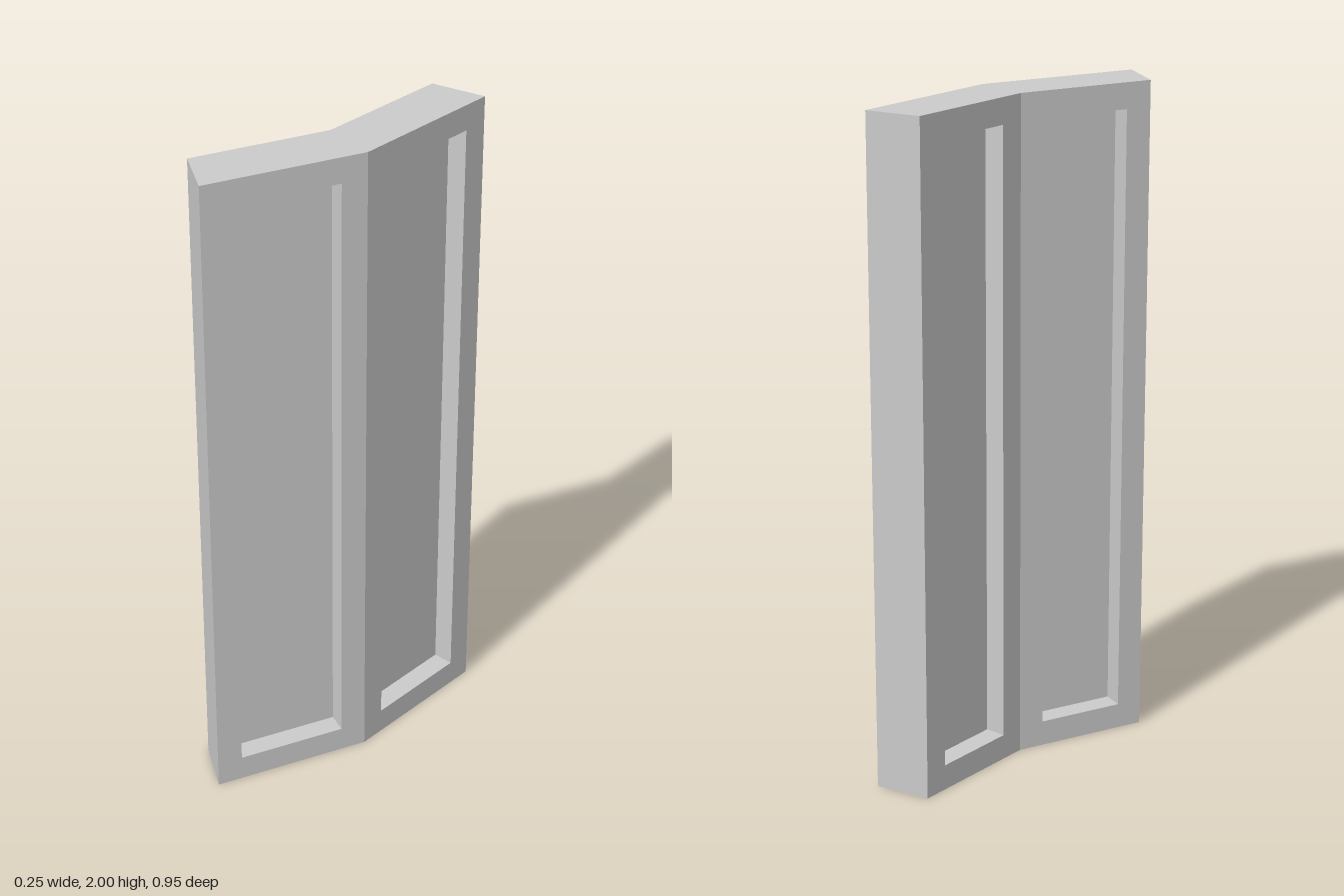
import * as THREE from 'three';

const HEIGHT = 2, MARGIN = 0.077, DEPTH = 0.064;

// Plan outline as [x, z]: convex side, end, concave side, end
const PLAN = [[0.03, 0.475], [0.125, 0], [0.03, -0.475], [-0.125, -0.41], [-0.045, 0], [-0.125, 0.41]];

const material = new THREE.MeshStandardMaterial({ color: 0xcccccc, flatShading: true });

// Mesh from four-cornered faces, corners counter-clockwise from outside
function quadMesh(name, quads) {
  const points = quads.flatMap(([a, b, c, d]) => [a, b, c, a, c, d]);
  const geometry = new THREE.BufferGeometry().setFromPoints(points);
  geometry.computeVertexNormals();
  const mesh = new THREE.Mesh(geometry, material);
  mesh.name = name;
  return mesh;
}

// Upright rectangle over plan edge a-b, inset by a margin and sunk by a depth
function rectangle(a, b, margin, depth) {
  const start = new THREE.Vector3(a[0], 0, a[1]);
  const along = new THREE.Vector3(b[0], 0, b[1]).sub(start);
  const length = along.length();
  along.normalize();
  const normal = new THREE.Vector3(-along.z, 0, along.x);
  const corner = (u, y) => start.clone().addScaledVector(along, u).addScaledVector(normal, -depth).setY(y);
  const u1 = length - margin, y1 = HEIGHT - margin;
  return [corner(margin, margin), corner(u1, margin), corner(u1, y1), corner(margin, y1)];
}

// Quads joining two rectangles corner by corner
const ring = (outer, inner) => outer.map((p, i) => {
  const j = (i + 1) % 4;
  return [p, outer[j], inner[j], inner[i]];
});

// Frame face with a rectangular recess
function recessedPanel(name, a, b) {
  const rim = rectangle(a, b, 0, 0);
  const opening = rectangle(a, b, MARGIN, 0);
  const floor = rectangle(a, b, MARGIN, DEPTH);
  const group = new THREE.Group();
  group.name = name;
  group.add(
    quadMesh('frame', ring(rim, opening)),
    quadMesh('recessWalls', ring(opening, floor)),
    quadMesh('recessFloor', [floor])
  );
  return group;
}

export function createModel() {
  const model = new THREE.Group();
  model.name = 'angledPanel';
  const edge = (i) => [PLAN[i], PLAN[(i + 1) % 6]];

  // Two recessed panels on each broad side
  [[0, 'outerFrontPanel'], [1, 'outerBackPanel'], [3, 'innerBackPanel'], [4, 'innerFrontPanel']]
    .forEach(([i, name]) => model.add(recessedPanel(name, ...edge(i))));

  // Plain end faces
  [[2, 'backEnd'], [5, 'frontEnd']]
    .forEach(([i, name]) => model.add(quadMesh(name, [rectangle(...edge(i), 0, 0)])));

  // Bent caps, each made of two halves
  const halves = (y) => [[0, 1, 4, 5], [1, 2, 3, 4]]
    .map((half) => half.map((i) => new THREE.Vector3(PLAN[i][0], y, PLAN[i][1])));
  model.add(quadMesh('topCap', halves(HEIGHT)));
  model.add(quadMesh('bottomCap', halves(0).map((q) => q.reverse())));
  return model;
}
